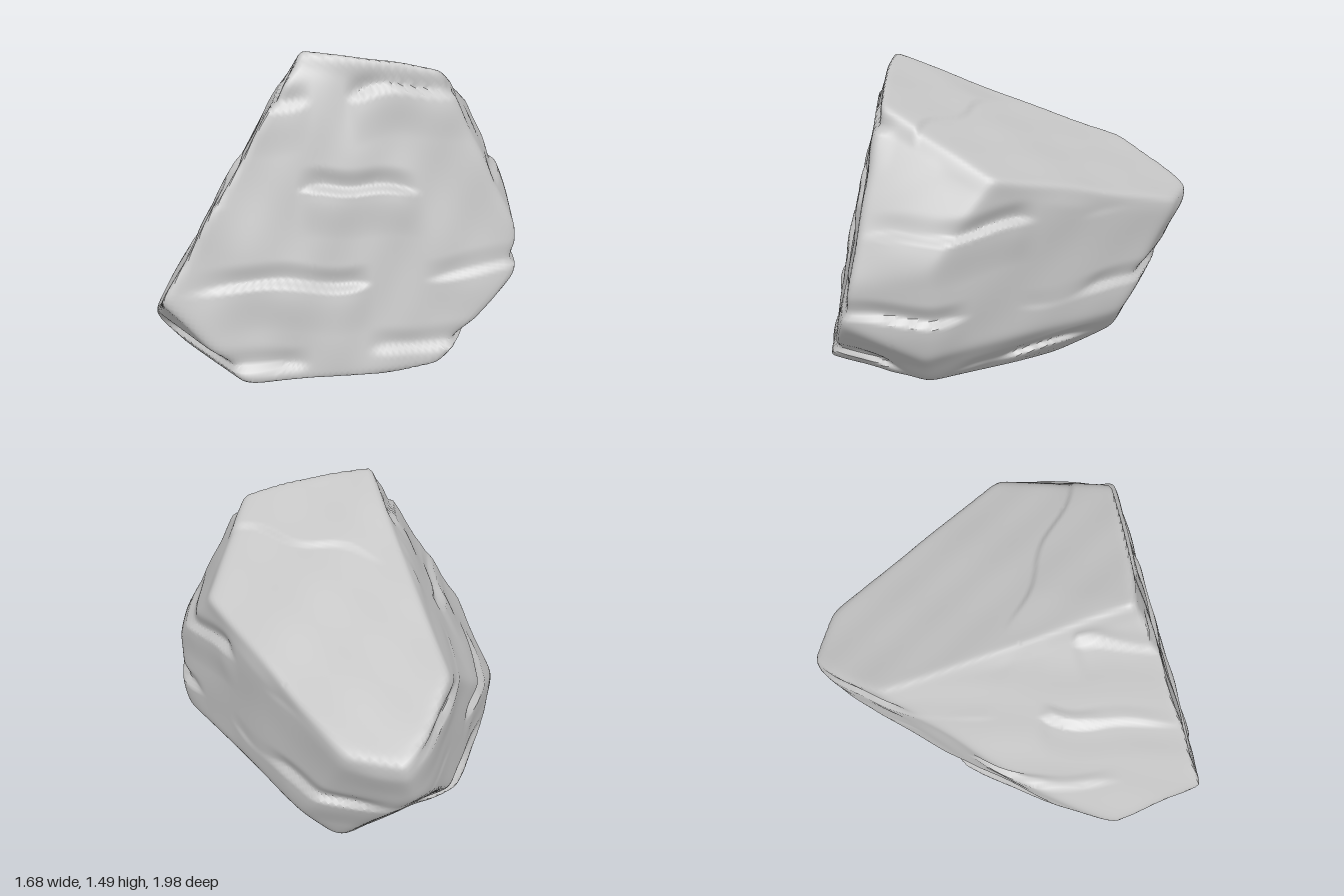
import * as THREE from 'three';
import { mergeVertices, toCreasedNormals } from 'three/addons/utils/BufferGeometryUtils.js';

// Cut planes of the boulder: outward normal and distance from the origin
const cuts = [
  [[0, 1, -0.444], 1.297],          // sloping top
  [[0.481, 0.228, 0.877], 0.694],   // broad front face
  [[0.3, 0.5, 0.74], 1.025],        // brow above the front
  [[-0.3785, 0.228, 0.109], 0.437], // left flank
  [[0.346, 0.187, -0.076], 0.396],  // upper right flank
  [[0.62, 0, -0.785], 0.575],       // back right face
  [[-0.987, 0, -0.158], 0.787],     // back left edge
  [[-1, 0, 0], 0.845],
  [[-0.87, 0, 0.5], 1.07],          // front left corner
  [[-0.25, 0, 0.97], 1.118],
  [[0.98, 0, -0.18], 0.79],         // right corner
  [[0.93, 0, -0.37], 0.715],
  [[-0.9, 0, -0.43], 0.965],        // back corner
  [[0, 0, -1], 1.01],
  [[0, -0.33, -0.94], 0.665],       // back overhang
  [[0, -0.88, -0.47], 0.238],       // lower bevels
  [[0.79, -0.62, 0], 0.378],
  [[0.5, -0.6, -0.63], 0.275],
  [[0.45, -0.34, 0.82], 0.63],
  [[-0.85, -0.5, 0], 0.645],
  [[-0.405, -0.546, 0.731], 0.715], // undercut front left corner
  [[-0.566, -0.6, -0.566], 0.505],  // undercut back left corner
  [[0, -1, 0], 0],                  // underside
  [[-0.1, -0.99, 0], 0.022],
  [[0.15, -0.99, 0], 0.016],
  [[0, -0.995, 0.1], 0.027],
].map(([n, d]) => ({ n: new THREE.Vector3(...n), d }));

const core = new THREE.Vector3(-0.1, 0.6, 0.08);
const smooth = THREE.MathUtils.smoothstep;

// Distance from the core to the rounded intersection of all cuts
function reach(dir) {
  let sum = 0;
  for (const { n, d } of cuts) {
    const k = n.dot(dir) / (d - n.dot(core));
    if (k > 0) sum += k ** 70;
  }
  return sum ** (-1 / 70);
}

// Broken strata: the rock swells below each seam and is notched above it
const seams = [0.12, 0.46, 0.86, 1.28];
function strata(y, a) {
  let out = 0;
  seams.forEach((level, i) => {
    const wobble = 0.022 * Math.sin(3 * a + i * 2) + 0.012 * Math.sin(8 * a + i);
    const t = y - level - wobble;
    const strength = smooth(Math.sin(4 * a + i * 1.9) + 0.5 * Math.sin(9 * a + i * 4), -0.8, 0.8);
    const ledge = smooth(t, 0, 0.03);
    out += strength * (0.014 * smooth(t, -0.2, -0.03) * (1 - ledge)
      - 0.026 * ledge * (1 - smooth(t, 0.03, 0.12)));
  });
  return out;
}

// Gentle lumps over the whole surface
function lumps({ x, y, z }) {
  return 0.008 * Math.sin(7 * x + 3 * y + 1) * Math.sin(6 * z - 5 * y)
    + 0.005 * Math.sin(15 * x - 9 * z) * Math.sin(13 * y + 8 * z);
}

function boulderGeometry() {
  let geo = new THREE.IcosahedronGeometry(1, 62);
  geo.deleteAttribute('normal');
  geo.deleteAttribute('uv');
  geo = mergeVertices(geo, 1e-5);
  const pos = geo.attributes.position;
  const dir = new THREE.Vector3();
  const p = new THREE.Vector3();
  for (let i = 0; i < pos.count; i++) {
    dir.fromBufferAttribute(pos, i).normalize();
    p.copy(dir).multiplyScalar(reach(dir)).add(core);
    const a = Math.atan2(p.z - core.z, p.x - core.x);
    const belowTop = 1.297 + 0.444 * p.z - p.y;
    const side = smooth(belowTop, 0.01, 0.1) * smooth(p.y, 0.02, 0.08);
    const out = side * (strata(p.y, a) + lumps(p));
    p.x += Math.cos(a) * out;
    p.z += Math.sin(a) * out;
    // Shallow step across the top
    const step = p.z + 0.04 - 0.1 * p.x + 0.02 * Math.sin(14 * p.x);
    p.y += (1 - smooth(belowTop, 0.02, 0.08))
      * (0.016 * smooth(step, -0.012, 0.012) * smooth(p.x, -0.35, -0.1) + 0.6 * lumps(p));
    pos.setXYZ(i, p.x, p.y, p.z);
  }
  // Centre the stone and stand it on the ground
  geo.computeBoundingBox();
  const mid = geo.boundingBox.getCenter(new THREE.Vector3());
  geo.translate(-mid.x, -geo.boundingBox.min.y, -mid.z);
  return toCreasedNormals(geo, 0.9);
}

export function createModel() {
  const model = new THREE.Group();
  model.name = 'rock';
  const stone = new THREE.MeshStandardMaterial({ color: 0xc4c4c4 });
  stone.name = 'grey stone';
  const boulder = new THREE.Mesh(boulderGeometry(), stone);
  boulder.name = 'boulder';
  model.add(boulder);
  return model;
}
